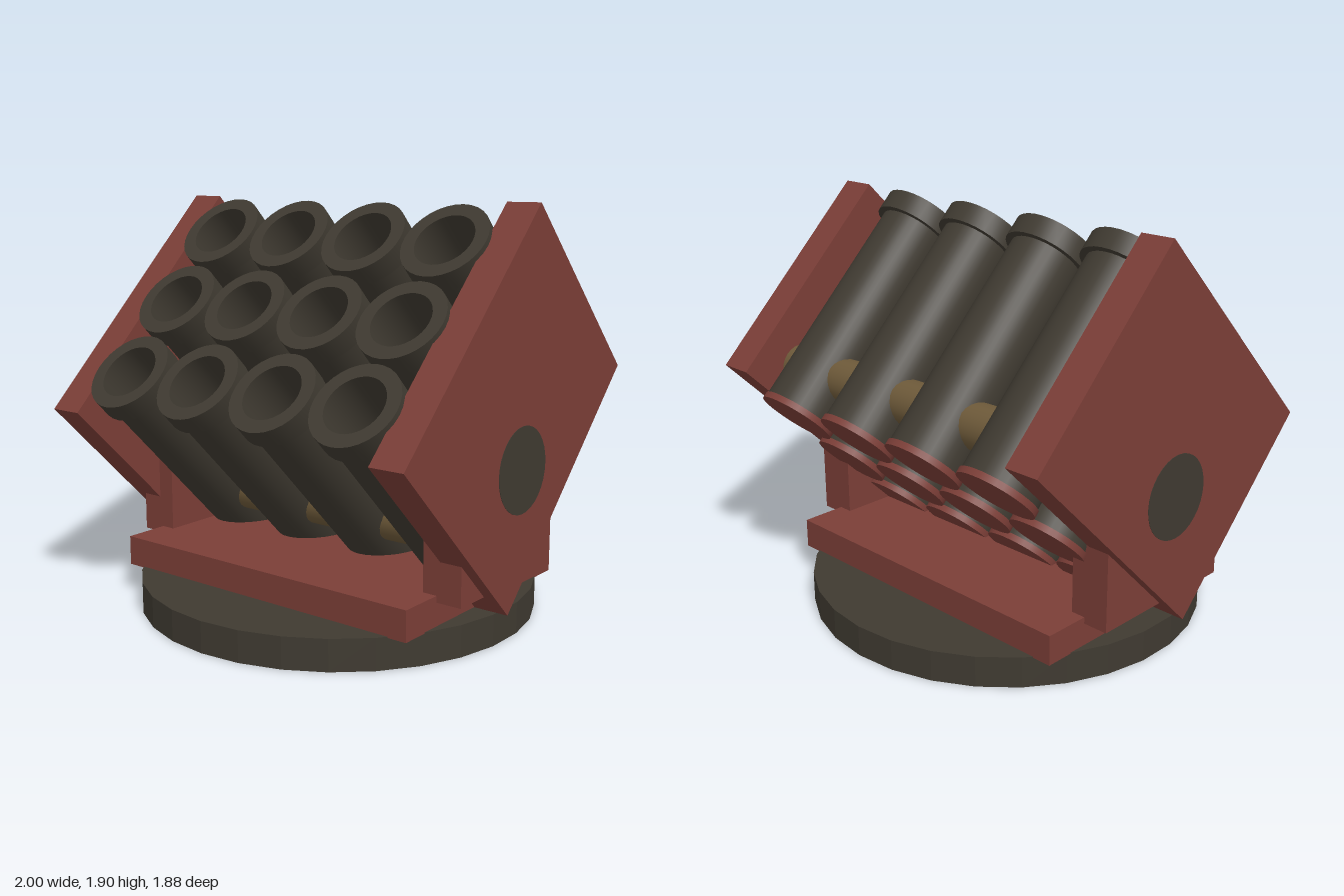
import * as THREE from 'three';
import { toCreasedNormals } from 'three/addons/utils/BufferGeometryUtils.js';

const iron = new THREE.MeshStandardMaterial({ color: 0x3f3a31 });
iron.name = 'dark iron';
const red = new THREE.MeshStandardMaterial({ color: 0x7b3e37 });
red.name = 'red paint';
const brass = new THREE.MeshStandardMaterial({ color: 0x6d5939 });
brass.name = 'old brass';

function add(parent, name, geometry, material, x, y, z) {
  const mesh = new THREE.Mesh(geometry, material);
  mesh.name = name;
  mesh.position.set(x, y, z);
  parent.add(mesh);
  return mesh;
}

export function createModel() {
  const model = new THREE.Group();
  model.name = 'multiBarrelLauncher';

  // Faceted turntable and the platform on it
  const disc = new THREE.CylinderGeometry(0.94, 0.94, 0.145, 30).toNonIndexed();
  disc.computeVertexNormals();
  add(model, 'turntable', disc, iron, 0, 0.0725, 0);
  add(model, 'platform', new THREE.BoxGeometry(1.64, 0.14, 1.18), red, 0, 0.21, 0);

  // Tilted cradle: local y runs along the barrels, local -z climbs the rows
  const cradle = new THREE.Group();
  cradle.name = 'cradle';
  cradle.position.y = 1.025;
  cradle.rotation.x = Math.PI / 4;
  model.add(cradle);

  // Brackets, side plates and pivot discs, mirrored
  for (const s of [-1, 1]) {
    add(model, 'bracket', new THREE.BoxGeometry(0.19, 0.43, 0.74), red, s * 0.845, 0.465, 0);
    add(cradle, 'sidePlate', new THREE.BoxGeometry(0.165, 1.1, 1.365), red, s * 0.9175, 0, 0);
    const pivot = add(model, 'pivotDisc', new THREE.CylinderGeometry(0.193, 0.193, 0.006, 32),
      iron, s * 0.999, 0.775, 0);
    pivot.rotation.z = Math.PI / 2;
  }

  // Barrel profile: body, muzzle collar, bore
  const profile = [
    [0.175, -0.58], [0.175, 0.475], [0.205, 0.475], [0.205, 0.575],
    [0.14, 0.575], [0.14, -0.1], [0, -0.1],
  ].map(([r, y]) => new THREE.Vector2(r, y));
  const barrelGeometry = toCreasedNormals(new THREE.LatheGeometry(profile, 32), 0.6);
  const capGeometry = new THREE.CylinderGeometry(0.182, 0.182, 0.03, 32);
  const rodGeometry = new THREE.CylinderGeometry(0.105, 0.105, 1.68, 24);

  // Three rows of four barrels, each row threaded by a brass rod
  for (let row = -1; row <= 1; row++) {
    const z = -row * 0.435;
    const rod = add(cradle, 'crossRod', rodGeometry, brass, 0, -0.355, z);
    rod.rotation.z = Math.PI / 2;
    for (let col = 0; col < 4; col++) {
      const x = (col - 1.5) * 0.433;
      add(cradle, 'barrel', barrelGeometry, iron, x, 0, z);
      add(cradle, 'breechCap', capGeometry, red, x, -0.59, z);
    }
  }
  return model;
}
